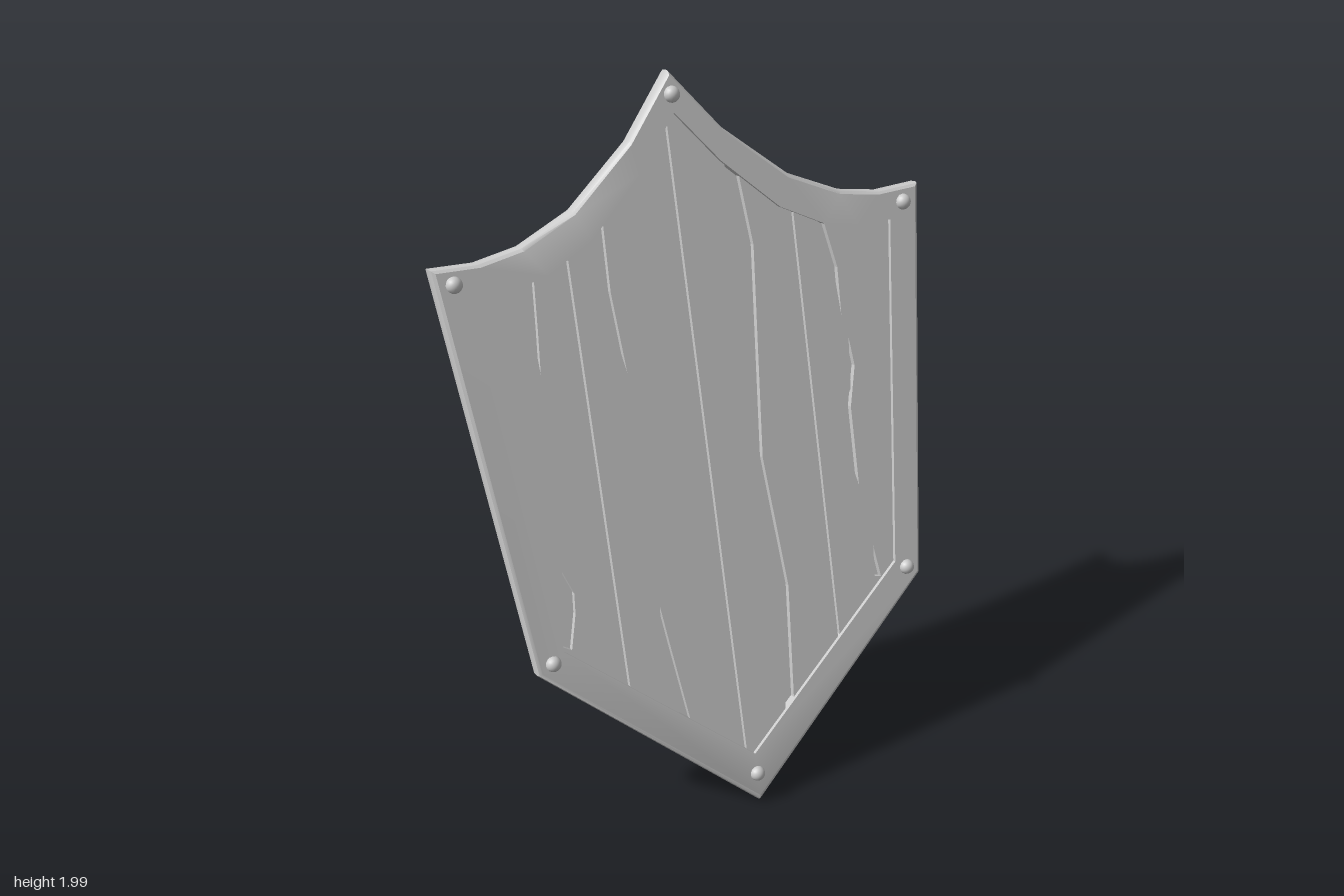
import * as THREE from 'three';
import { toCreasedNormals } from 'three/addons/utils/BufferGeometryUtils.js';

const TILT = 0.292;
const material = new THREE.MeshStandardMaterial({ color: 0xcccccc, side: THREE.DoubleSide });
// Height above ground -> position along the leaning shield
const up = (y) => (y - 1) / Math.cos(TILT);
const vec = ([x, y]) => new THREE.Vector2(x, up(y));

// Half outlines (tip to tip, +x side, upwards); matching point counts
const OUTER = [[0, 0.012], [0.59, 0.54], [0.7, 1.615], [0.58, 1.61], [0.46, 1.63], [0.31, 1.695], [0.13, 1.84], [0, 1.995]];
const INNER = [[0, 0.155], [0.51, 0.59], [0.6, 1.53], [0.5, 1.53], [0.4, 1.55], [0.27, 1.615], [0.115, 1.755], [0, 1.89]];
const mirrored = (half) => [...half, ...half.slice(1, -1).reverse().map(([x, y]) => [-x, y])];

function mesh(name, geometry) {
  const m = new THREE.Mesh(geometry, material);
  m.name = name;
  return m;
}

// Rim: a rounded cross-section swept between the outer and inner outlines
function rimGeometry() {
  const outer = mirrored(OUTER), inner = mirrored(INNER);
  const profile = [[1, 0.031], [0.13, 0.031], [0.04, 0.025], [0, 0.012], [0, -0.012], [0.05, -0.024], [0.16, -0.029], [1, -0.031]];
  const n = outer.length, k = profile.length;
  const pos = [], index = [];
  for (let i = 0; i < n; i++) {
    for (const [t, z] of profile) {
      const x = THREE.MathUtils.lerp(outer[i][0], inner[i][0], t);
      const y = THREE.MathUtils.lerp(outer[i][1], inner[i][1], t);
      pos.push(x, up(y), z);
    }
    for (let j = 0; j < k; j++) {
      const i2 = (i + 1) % n, j2 = (j + 1) % k;
      const a = i * k + j, b = i * k + j2, c = i2 * k + j2, d = i2 * k + j;
      index.push(a, b, c, a, c, d);
    }
  }
  const g = new THREE.BufferGeometry();
  g.setAttribute('position', new THREE.Float32BufferAttribute(pos, 3));
  g.setIndex(index);
  return toCreasedNormals(g, 0.6);
}

// Board edges, tucked slightly under the rim
const topCurve = INNER.slice(2).reverse();
function topY(x) {
  const ax = Math.abs(x);
  for (let i = 1; i < topCurve.length; i++) {
    const [x0, y0] = topCurve[i - 1], [x1, y1] = topCurve[i];
    if (ax <= x1) return 0.03 + y0 + ((y1 - y0) * (ax - x0)) / (x1 - x0);
  }
  return 1.56;
}
const bottomY = (x) => 0.12 + 0.853 * Math.abs(x);

// Board between x = a and x = b; the outermost edges slant with the rim
function boardGeometry(a, b, z0, z1, cracks = []) {
  const low = (x) => (Math.abs(x) > 0.6 ? Math.sign(x) * 0.535 : x);
  const inside = (x) => x > a + 0.001 && x < b - 0.001;
  const pts = [[low(a), bottomY(low(a))]];
  if (inside(0)) pts.push([0, bottomY(0)]);
  pts.push([low(b), bottomY(low(b))], [b, topY(b)]);
  const xs = [...topCurve.map((p) => p[0]), ...topCurve.slice(1).map((p) => -p[0])];
  xs.filter(inside).sort((p, q) => q - p).forEach((x) => pts.push([x, topY(x)]));
  pts.push([a, topY(a)]);
  const shape = new THREE.Shape(pts.map(vec));
  for (const c of cracks) shape.holes.push(new THREE.Path(c.map(vec)));
  const g = new THREE.ExtrudeGeometry(shape, { depth: z1 - z0, bevelEnabled: false });
  return g.translate(0, 0, z0);
}

// Worn splits cut into the front of the boards, grouped per board
const CRACKS = [
  [
    [[-0.465, 1.55], [-0.435, 1.55], [-0.445, 1.42], [-0.455, 1.31]],
    [[-0.48, 0.8], [-0.455, 0.735], [-0.46, 0.68], [-0.485, 0.585], [-0.51, 0.6], [-0.485, 0.7]],
  ],
  [
    [[-0.262, 1.63], [-0.23, 1.65], [-0.235, 1.48], [-0.22, 1.27], [-0.257, 1.46]],
    [[-0.22, 0.64], [-0.205, 0.52], [-0.175, 0.295], [-0.205, 0.315], [-0.23, 0.52]],
  ],
  [
    [[0.127, 1.75], [0.16, 1.53], [0.11, 0.97], [0.15, 0.6], [0.115, 0.245],
      [0.145, 0.265], [0.17, 0.6], [0.138, 0.97], [0.185, 1.53], [0.165, 1.72]],
  ],
  [
    [[0.385, 1.56], [0.4, 1.56], [0.428, 1.43], [0.425, 1.3], [0.415, 1.43]],
    [[0.44, 1.24], [0.45, 1.16], [0.425, 1.05], [0.425, 0.83], [0.39, 0.96], [0.395, 1.04], [0.43, 1.1]],
    [[0.45, 0.65], [0.465, 0.555], [0.445, 0.56]],
  ],
];

export function createModel() {
  const shield = new THREE.Group();
  shield.name = 'shield';
  const body = new THREE.Group();
  body.name = 'leaningBody';
  body.position.y = 1;
  body.rotation.x = -TILT;
  shield.add(body);

  body.add(mesh('rim', rimGeometry()));

  // Solid core, with separate boards on both faces
  body.add(mesh('boardCore', boardGeometry(-0.635, 0.635, -0.018, 0.001)));
  const seams = [-0.635, -0.34, -0.022, 0.31, 0.635];
  const gap = 0.003;
  CRACKS.forEach((cracks, i) => {
    const a = seams[i] + (i > 0 ? gap : 0);
    const b = seams[i + 1] - (i < 3 ? gap : 0);
    body.add(mesh('frontBoard', boardGeometry(a, b, 0.001, 0.019, cracks)));
    body.add(mesh('backBoard', boardGeometry(a, b, -0.029, -0.018)));
  });

  // Domed rivets on the rim
  const dome = new THREE.SphereGeometry(0.022, 16, 8, 0, Math.PI * 2, 0, Math.PI / 2).rotateX(Math.PI / 2);
  const spots = [[0, 1.935], [0, 0.097], [0.645, 1.57], [-0.645, 1.57], [0.545, 0.567], [-0.545, 0.567]];
  for (const [x, y] of spots) {
    const rivet = mesh('rivet', dome);
    rivet.position.set(x, up(y), 0.03);
    body.add(rivet);
  }
  return shield;
}
